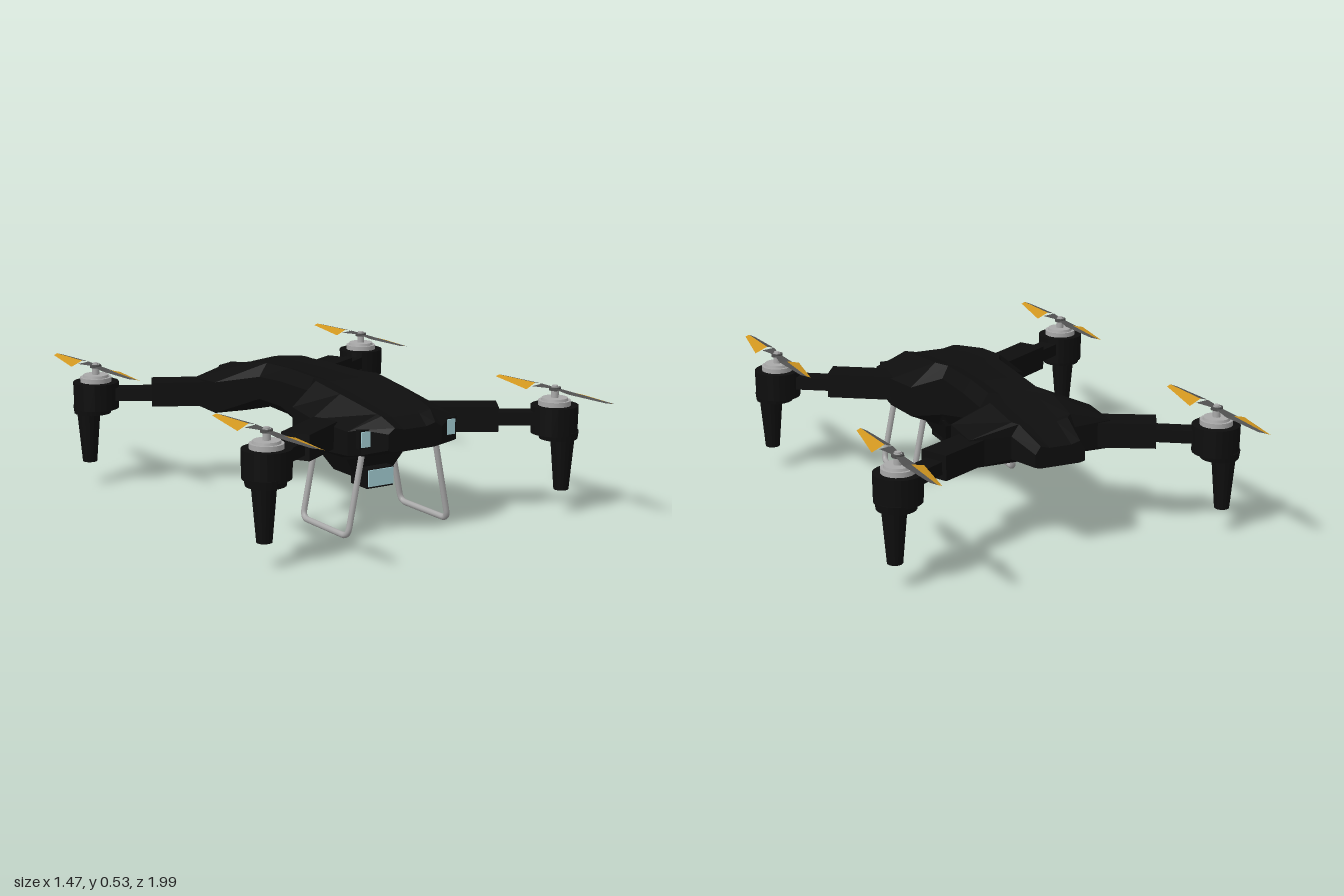
import * as THREE from 'three';

const mat = (name, hex, extra = {}) => {
  const m = new THREE.MeshStandardMaterial({ color: hex, ...extra });
  m.name = name;
  return m;
};

export function createModel() {
  const black = mat('matte black', 0x0e0e0e, { flatShading: true });
  const silver = mat('silver', 0xa9a9a9);
  const glass = mat('pale blue glass', 0xa6d0d6);
  const grey = mat('blade grey', 0x505050, { side: THREE.DoubleSide, flatShading: true });
  const orange = mat('blade orange', 0xd0961f, { side: THREE.DoubleSide, flatShading: true });

  const model = new THREE.Group();
  model.name = 'quadcopter';

  const add = (parent, name, geo, material, x = 0, y = 0, z = 0) => {
    const mesh = new THREE.Mesh(geo, material);
    mesh.name = name;
    mesh.position.set(x, y, z);
    parent.add(mesh);
    return mesh;
  };
  const box = (w, h, d) => new THREE.BoxGeometry(w, h, d);
  const cyl = (rt, rb, h, n = 24) => new THREE.CylinderGeometry(rt, rb, h, n);

  // Skin a list of rings running from front (+z) to back, capped at both ends
  const loft = (rings) => {
    const pos = [];
    const tri = (...pts) => pts.forEach((p) => pos.push(...p));
    const n = rings[0].length;
    for (let i = 0; i < rings.length - 1; i++) {
      for (let j = 0; j < n; j++) {
        const k = (j + 1) % n;
        const a = rings[i][j], b = rings[i][k], c = rings[i + 1][k], d = rings[i + 1][j];
        tri(a, d, c);
        tri(a, c, b);
      }
    }
    const cap = (ring, flip) => {
      const mid = [0, 1, 2].map((q) => ring.reduce((s, p) => s + p[q], 0) / n);
      ring.forEach((p, j) => {
        const q = ring[(j + 1) % n];
        flip ? tri(mid, q, p) : tri(mid, p, q);
      });
    };
    cap(rings[0], false);
    cap(rings[rings.length - 1], true);
    const geo = new THREE.BufferGeometry();
    geo.setAttribute('position', new THREE.Float32BufferAttribute(pos, 3));
    geo.computeVertexNormals();
    return geo;
  };
  const mirrorRing = (half, z) => [
    ...half.map(([x, y]) => [x, y, z]),
    ...half.slice().reverse().map(([x, y]) => [-x, y, z]),
  ];

  // Fuselage: z, ridge x, top y, side x, side top y, side bottom y, belly x, belly y
  const sections = [
    [0.65, 0.09, 0.43, 0.12, 0.41, 0.35, 0.10, 0.34],
    [0.59, 0.11, 0.465, 0.20, 0.425, 0.33, 0.13, 0.32],
    [0.57, 0.115, 0.47, 0.245, 0.42, 0.33, 0.13, 0.315],
    [0.36, 0.14, 0.51, 0.265, 0.43, 0.32, 0.13, 0.265],
    [0.19, 0.14, 0.53, 0.245, 0.44, 0.32, 0.13, 0.27],
    [0.13, 0.11, 0.53, 0.135, 0.48, 0.33, 0.10, 0.285],
    [-0.075, 0.10, 0.53, 0.135, 0.48, 0.38, 0.10, 0.345],
    [-0.235, 0.10, 0.523, 0.135, 0.47, 0.38, 0.10, 0.35],
    [-0.32, 0.13, 0.513, 0.29, 0.45, 0.325, 0.15, 0.32],
    [-0.49, 0.12, 0.487, 0.29, 0.44, 0.33, 0.13, 0.33],
    [-0.51, 0.10, 0.483, 0.13, 0.44, 0.35, 0.10, 0.34],
    [-0.655, 0.08, 0.44, 0.10, 0.41, 0.36, 0.08, 0.355],
  ];
  const hull = sections.map(([z, xr, yt, xw, yh, yl, xb, yb]) => mirrorRing(
    [[xb, yb], [xw, yl], [xw, yh], [xr, yt], [xr * 0.55, yt - 0.01]], z));
  add(model, 'fuselage', loft(hull), black);

  // Tapered belly housing
  const belly = [[0.39, 0.13, 0.262], [0.37, 0.08, 0.183], [0.225, 0.08, 0.183], [0.14, 0.12, 0.275]]
    .map(([z, x, y]) => mirrorRing([[x, y], [0.13, 0.3]], z));
  add(model, 'bellyHousing', loft(belly), black);

  // Camera with a glass front
  add(model, 'camera', box(0.12, 0.075, 0.11), black, 0, 0.183, 0.37);
  add(model, 'cameraGlass', box(0.112, 0.064, 0.008), glass, 0, 0.185, 0.427);

  // Straight beam between two ground-plan points
  const beam = (name, x0, z0, x1, z1, width, y0, y1) => {
    const mesh = add(model, name, box(Math.hypot(x1 - x0, z1 - z0), y1 - y0, width), black,
      (x0 + x1) / 2, (y0 + y1) / 2, (z0 + z1) / 2);
    mesh.rotation.y = -Math.atan2(z1 - z0, x1 - x0);
  };

  // One blade: orange trailing strip and grey leading strip meeting at a ridge
  const strip = (pts) => {
    const geo = new THREE.BufferGeometry();
    geo.setAttribute('position', new THREE.Float32BufferAttribute(pts.flat(), 3));
    geo.setIndex([0, 1, 2, 0, 2, 3]);
    const flat = geo.toNonIndexed();
    flat.computeVertexNormals();
    return flat;
  };
  const ridgeRoot = [-0.004, 0.006, -0.115], ridgeTip = [-0.014, 0.002, -0.33];
  const orangeGeo = strip([[-0.06, -0.011, -0.098], ridgeRoot, ridgeTip, [-0.03, -0.004, -0.33]]);
  const greyGeo = strip([ridgeRoot, [0.022, 0.001, -0.105], [0, 0, -0.295], ridgeTip]);
  const neckGeo = strip([[-0.012, 0.004, 0], [0.012, 0.004, 0], [0.022, 0.001, -0.105], [-0.03, -0.003, -0.102]]);

  for (const sx of [1, -1]) {
    for (const sz of [1, -1]) {
      const end = sz > 0 ? 'front' : 'rear';
      const mx = 0.643 * sx, mz = sz > 0 ? 0.662 : -0.672;

      // Folding arm
      const inner = sz > 0 ? 0.39 : -0.415;
      beam(end + 'ArmInner', 0.2 * sx, inner, 0.455 * sx, sz * 0.548, 0.115, 0.34, 0.437);
      beam(end + 'ArmOuter', 0.4 * sx, sz * 0.515, 0.6 * sx, sz * 0.64, 0.075, 0.36, 0.41);

      // Motor pod and tapered foot
      const pod = new THREE.Group();
      pod.name = end + 'MotorPod';
      pod.position.set(mx, 0, mz);
      model.add(pod);
      add(pod, 'motorHousing', cyl(0.092, 0.09, 0.108), black, 0, 0.378, 0);
      add(pod, 'footCollar', cyl(0.078, 0.074, 0.03), black, sx * 0.012, 0.318, sz * 0.012);
      add(pod, 'foot', cyl(0.048, 0.029, 0.22, 16), black, sx * 0.025, 0.21, sz * 0.022);

      // Motor bell and shaft
      add(pod, 'motorBase', cyl(0.063, 0.063, 0.02), silver, 0, 0.441, 0);
      add(pod, 'motorBell', cyl(0.05, 0.053, 0.012), silver, 0, 0.455, 0);
      add(pod, 'shaft', cyl(0.015, 0.015, 0.045, 16), silver, 0, 0.48, 0);
      add(pod, 'hub', cyl(0.023, 0.023, 0.012, 16), grey, 0, 0.495, 0);
      add(pod, 'hubCap', cyl(0.012, 0.012, 0.01, 12), silver, 0, 0.503, 0);

      // Two-bladed propeller
      for (const turn of [0, Math.PI]) {
        const blade = new THREE.Group();
        blade.name = 'blade';
        blade.position.y = 0.492;
        blade.rotation.y = turn;
        add(blade, 'bladeOrange', orangeGeo, orange);
        add(blade, 'bladeGrey', greyGeo, grey);
        add(blade, 'bladeNeck', neckGeo, grey);
        pod.add(blade);
      }
    }

    // Front sensor light
    add(model, 'lightFrame', box(0.052, 0.07, 0.06), black, 0.19 * sx, 0.392, 0.575);
    add(model, 'light', box(0.04, 0.058, 0.008), glass, 0.19 * sx, 0.392, 0.607);

    // Landing skid: a bent tube leaning outward
    const at = (y, z) => new THREE.Vector3(sx * (0.228 - (y - 0.015) * 0.2), y, z);
    const path = new THREE.CurvePath();
    const line = (a, b) => path.add(new THREE.LineCurve3(a, b));
    const bend = (a, b, c) => path.add(new THREE.QuadraticBezierCurve3(a, b, c));
    line(at(0.315, 0.548), at(0.05, 0.548));
    bend(at(0.05, 0.548), at(0.015, 0.548), at(0.015, 0.513));
    line(at(0.015, 0.513), at(0.015, 0.272));
    bend(at(0.015, 0.272), at(0.015, 0.237), at(0.05, 0.237));
    line(at(0.05, 0.237), at(0.3, 0.237));
    add(model, 'landingSkid', new THREE.TubeGeometry(path, 80, 0.012, 10, false), silver);
  }
  return model;
}
